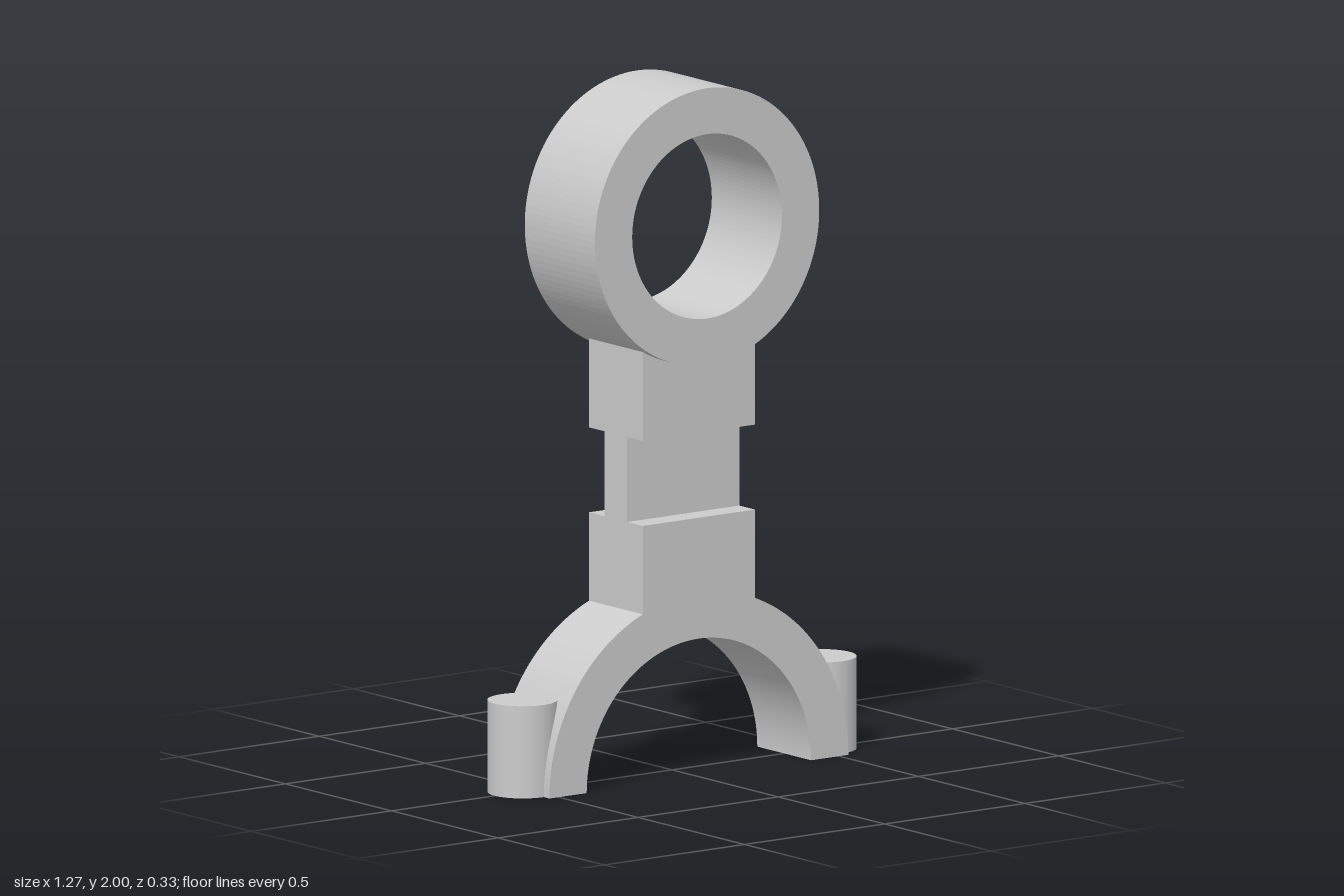
import * as THREE from 'three';

const material = new THREE.MeshStandardMaterial({ color: 0xcccccc });

function addMesh(group, name, geometry) {
  const mesh = new THREE.Mesh(geometry, material);
  mesh.name = name;
  group.add(mesh);
  return mesh;
}

// Extrude a shape along z, centred on z = 0
function slab(shape, depth) {
  return new THREE.ExtrudeGeometry(shape, { depth, bevelEnabled: false, curveSegments: 64 })
    .translate(0, 0, -depth / 2);
}

export function createModel() {
  const group = new THREE.Group();
  const ringY = 1.6, ringR = 0.4, ringHole = 0.267, ringDepth = 0.33;
  const archOuter = 0.533, archInner = 0.4, bodyDepth = 0.253;
  const half = 0.2, neckDepth = 0.106, neckLow = 0.75, neckHigh = 0.996;

  // Ring at the top
  const ring = new THREE.Shape().absarc(0, ringY, ringR, 0, Math.PI * 2, false);
  ring.holes.push(new THREE.Path().absarc(0, ringY, ringHole, 0, Math.PI * 2, true));
  addMesh(group, 'ring', slab(ring, ringDepth));

  // Half-round saddle arch with the lower shank rising from it
  const a = Math.acos(half / archOuter);
  const arch = new THREE.Shape();
  arch.moveTo(archInner, 0);
  arch.lineTo(archOuter, 0);
  arch.absarc(0, 0, archOuter, 0, a, false);
  arch.lineTo(half, neckLow);
  arch.lineTo(-half, neckLow);
  arch.absarc(0, 0, archOuter, Math.PI - a, Math.PI, false);
  arch.lineTo(-archInner, 0);
  arch.absarc(0, 0, archInner, Math.PI, 0, true);
  addMesh(group, 'archAndLowerShank', slab(arch, bodyDepth));

  // Thin neck
  addMesh(group, 'neck', new THREE.BoxGeometry(half * 2, neckHigh - neckLow, neckDepth))
    .position.y = (neckLow + neckHigh) / 2;

  // Upper shank, its top cut to the ring's curve
  const b = Math.acos(half / ringR);
  const upper = new THREE.Shape();
  upper.moveTo(-half, neckHigh);
  upper.lineTo(half, neckHigh);
  upper.absarc(0, ringY, ringR, -b, -Math.PI + b, true);
  addMesh(group, 'upperShank', slab(upper, bodyDepth));

  // Round lugs at the feet of the arch
  const lugR = 0.1, lugH = 0.267;
  for (const [side, name] of [[1, 'leftLug'], [-1, 'rightLug']]) {
    addMesh(group, name, new THREE.CylinderGeometry(lugR, lugR, lugH, 48))
      .position.set(side * archOuter, lugH / 2, 0);
  }

  return group;
}
